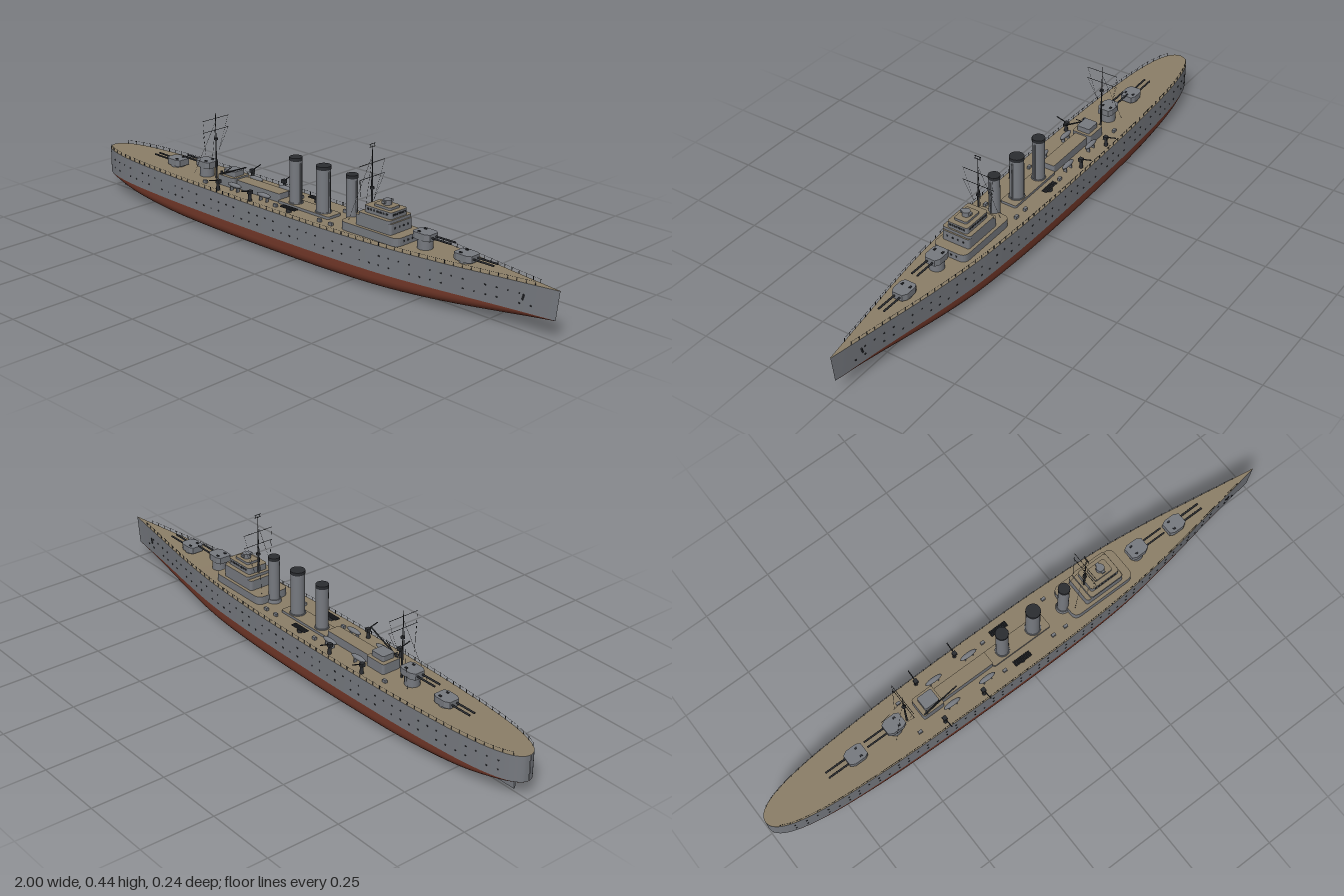
import * as THREE from 'three';
import { mergeGeometries } from 'three/addons/utils/BufferGeometryUtils.js';

const mat = (name, color, side = THREE.FrontSide) =>
  Object.assign(new THREE.MeshStandardMaterial({ color, side }), { name });

export function createModel() {
  const grey = mat('hull grey', 0x777a80);
  const red = mat('antifouling red', 0x75392a);
  const tan = mat('deck planking', 0x8c7f68);
  const dark = mat('dark fittings', 0x2b2d31);
  const ship = new THREE.Group();
  ship.name = 'cruiser';

  const add = (name, geo, material, parent = ship) => {
    const m = new THREE.Mesh(Array.isArray(geo) ? mergeGeometries(geo) : geo, material);
    m.name = name;
    parent.add(m);
    return m;
  };
  const box = (x, y, z, w, h, d) => new THREE.BoxGeometry(w, h, d).translate(x, y, z);
  const cyl = (x, y0, y1, z, r, rTop = r, n = 16) =>
    new THREE.CylinderGeometry(rTop, r, y1 - y0, n).translate(x, (y0 + y1) / 2, z);
  const rod = (a, b, r, n = 5) => {
    const p = new THREE.Vector3(...a), d = new THREE.Vector3(...b).sub(p);
    const q = new THREE.Quaternion().setFromUnitVectors(new THREE.Vector3(0, 1, 0), d.clone().normalize());
    return new THREE.CylinderGeometry(r, r, d.length(), n).applyQuaternion(q)
      .translate(p.x + d.x / 2, p.y + d.y / 2, p.z + d.z / 2);
  };
  // Rounded plan shape raised from y0 to y1; planked top, grey walls
  const slab = (name, x0, x1, hz, y0, y1, r, mats = [tan, grey]) => {
    const s = new THREE.Shape();
    s.moveTo(x0 + r, -hz).lineTo(x1 - r, -hz).quadraticCurveTo(x1, -hz, x1, -hz + r)
      .lineTo(x1, hz - r).quadraticCurveTo(x1, hz, x1 - r, hz)
      .lineTo(x0 + r, hz).quadraticCurveTo(x0, hz, x0, hz - r)
      .lineTo(x0, -hz + r).quadraticCurveTo(x0, -hz, x0 + r, -hz);
    const g = new THREE.ExtrudeGeometry(s, { depth: y1 - y0, bevelEnabled: false, curveSegments: 5 });
    return add(name, g.rotateX(-Math.PI / 2).translate(0, y0, 0), mats);
  };

  // Hull stations: x, half beam, keel height
  const WL = 0.065;
  const stations = new THREE.CatmullRomCurve3([
    [-1, 0.001, 0.064], [-0.995, 0.018, 0.063], [-0.98, 0.034, 0.06], [-0.95, 0.05, 0.052], [-0.9, 0.065, 0.04],
    [-0.8, 0.081, 0.02], [-0.6, 0.095, 0.004], [-0.35, 0.102, 0], [0, 0.103, 0], [0.2, 0.099, 0.001],
    [0.4, 0.088, 0.005], [0.6, 0.065, 0.016], [0.8, 0.033, 0.037], [0.9, 0.017, 0.05], [1, 0.001, 0.064],
  ].map(p => new THREE.Vector3(...p)), false, 'centripetal').getPoints(112);
  const deckY = x => 0.153 + 0.007 * Math.max(0, x) ** 2;
  const halfBeam = x => {
    const i = Math.max(1, stations.findIndex(s => s.x >= x));
    const a = stations[i - 1], b = stations[i];
    return a.y + (b.y - a.y) * (x - a.x) / (b.x - a.x);
  };
  const flare = x => 1 - 0.18 * THREE.MathUtils.smoothstep(x, 0.35, 0.95);
  const rake = x => x - 0.012 * THREE.MathUtils.smoothstep(x, 0.7, 1);

  // Skin through one row of points per station
  const skin = section => {
    const rows = stations.map(section), n = rows[0].length, idx = [];
    for (let i = 0; i < rows.length - 1; i++) for (let j = 0; j < n - 1; j++) {
      const a = i * n + j;
      idx.push(a, a + 1, a + n, a + 1, a + n + 1, a + n);
    }
    const g = new THREE.BufferGeometry();
    g.setAttribute('position', new THREE.Float32BufferAttribute(rows.flat(2), 3));
    g.setIndex(idx);
    g.computeVertexNormals();
    return g;
  };
  add('lowerHull', skin(s => {
    const n = 1.5 + 2.1 * (1 - Math.min(1, Math.abs(s.x + 0.1) ** 2));
    return Array.from({ length: 21 }, (_, j) => {
      const a = (1 - j / 10) * Math.PI / 2;
      const z = Math.sign(a) * Math.abs(Math.sin(a)) ** (2 / n);
      const y = WL - (WL - s.z) * Math.abs(Math.cos(a)) ** (2 / n);
      return [rake(s.x), y, z * s.y * flare(s.x)];
    });
  }), red);
  for (const side of [1, -1]) {
    add(side > 0 ? 'frontTopsides' : 'backTopsides', skin(s => {
      const top = [s.x, deckY(s.x), side * s.y], low = [rake(s.x), WL, side * s.y * flare(s.x)];
      return side > 0 ? [top, low] : [low, top];
    }), grey);
  }
  add('mainDeck', skin(s => [[s.x, deckY(s.x), -s.y], [s.x, deckY(s.x), s.y]]), tan);
  add('rudder', box(-0.912, 0.034, 0, 0.068, 0.048, 0.006), grey);

  // Portholes, anchors and deck-edge rails
  const ports = [], rails = [], anchors = [];
  for (const s of [1, -1]) {
    for (let i = 0; i < 50; i++) {
      const x = -0.93 + i * 0.0375;
      for (const y of [0.091, 0.122]) {
        if ((i + (y > 0.1 ? 0 : 2)) % 5 === 4) continue;
        const f = flare(x) + (1 - flare(x)) * (y - WL) / (deckY(x) - WL);
        const slope = Math.atan2(halfBeam(x + 0.01) - halfBeam(x - 0.01), 0.02);
        ports.push(new THREE.BoxGeometry(0.005, 0.004, 0.003).rotateY(-s * slope)
          .translate(x, y, s * halfBeam(x) * f));
      }
    }
    for (let i = 0; i < 64; i++) {
      const x = -0.97 + i * 0.03, y = deckY(x), z = s * (halfBeam(x) - 0.0015);
      rails.push(box(x, y + 0.006, z, 0.0014, 0.012, 0.0014));
      if (i < 63) rails.push(rod([x, y + 0.011, z],
        [x + 0.03, deckY(x + 0.03) + 0.011, s * (halfBeam(x + 0.03) - 0.0015)], 0.0004, 3));
    }
    anchors.push(rod([0.885, 0.122, s * 0.0185], [0.88, 0.104, s * 0.0185], 0.003));
  }
  add('portholes', ports, dark);
  add('deckRails', rails, dark);
  add('anchors', anchors, dark);

  // Twin gun turrets: x, floor height, facing
  [[0.655, 0.156, 1], [0.492, 0.18, 1], [-0.498, 0.18, -1], [-0.65, 0.153, -1]].forEach(([x, y, dir], i) => {
    const t = new THREE.Group();
    t.name = 'turret' + (i + 1);
    t.position.set(x, y, 0);
    if (dir < 0) t.rotation.y = Math.PI;
    ship.add(t);
    const plan = new THREE.Shape([[-0.034, -0.02], [-0.02, -0.027], [0.018, -0.027], [0.034, -0.018],
      [0.034, 0.018], [0.018, 0.027], [-0.02, 0.027], [-0.034, 0.02]].map(p => new THREE.Vector2(...p)));
    add('gunhouse', new THREE.ExtrudeGeometry(plan, { depth: 0.022, bevelEnabled: false })
      .rotateX(-Math.PI / 2).translate(0, 0.006, 0), grey, t);
    add('barbette', cyl(0, 0.15 - y, 0.007, 0, 0.025), grey, t);
    add('barrels', [-1, 1].map(s => rod([0.03, 0.017, s * 0.01], [0.11, 0.018, s * 0.01], 0.0032, 8)), dark, t);
    add('sightHoods', [-1, 1].map(s => box(-0.012, 0.029, s * 0.015, 0.009, 0.004, 0.006)), dark, t);
  });

  // Funnels with dark caps
  [[-0.065, 0.021], [0.06, 0.024], [0.185, 0.019]].forEach(([x, r], i) => {
    const f = new THREE.Group();
    f.name = 'funnel' + (i + 1);
    ship.add(f);
    add('casing', cyl(x, 0.15, 0.307, 0, r, r, 20), grey, f);
    add('cap', cyl(x, 0.307, 0.318, 0, r + 0.001, r + 0.001, 20), dark, f);
    add('base', cyl(x, 0.15, 0.165, 0, r + 0.006, r + 0.003, 20), grey, f);
    add('steamPipe', cyl(x + r + 0.002, 0.155, 0.3, 0, 0.003, 0.003, 6), grey, f);
  });

  // Bridge tiers
  slab('bridgeDeckhouse', 0.188, 0.432, 0.062, 0.15, 0.181, 0.025);
  slab('lowerBridge', 0.245, 0.395, 0.051, 0.181, 0.216, 0.01);
  slab('bridgeWing', 0.26, 0.39, 0.053, 0.216, 0.226, 0.01);
  slab('upperBridge', 0.272, 0.385, 0.038, 0.226, 0.248, 0.01);
  slab('compassPlatform', 0.298, 0.368, 0.024, 0.248, 0.256, 0.008);
  add('director', [cyl(0.335, 0.256, 0.272, 0, 0.014), box(0.335, 0.266, 0, 0.012, 0.008, 0.04)], grey);
  const panes = [];
  for (let i = -3; i <= 3; i++) {
    panes.push(box(0.385, 0.239, i * 0.0085, 0.003, 0.006, 0.006));
    for (const s of [1, -1]) panes.push(box(0.328 + i * 0.013, 0.239, s * 0.038, 0.008, 0.006, 0.003));
  }
  for (const z of [-0.03, -0.01, 0.01, 0.03]) {
    panes.push(box(0.395, 0.2, z, 0.003, 0.006, 0.006), box(0.432, 0.168, z, 0.003, 0.006, 0.006));
  }
  add('bridgeWindows', panes, dark);

  // After superstructure and platforms
  slab('afterDeckhouse', -0.405, -0.325, 0.036, 0.15, 0.188, 0.008);
  slab('afterControl', -0.39, -0.335, 0.024, 0.188, 0.206, 0.006, [grey, grey]);
  slab('midDeckhouse', -0.325, -0.12, 0.024, 0.15, 0.182, 0.006);
  slab('funnelDeckhouse', -0.12, 0.11, 0.03, 0.15, 0.162, 0.008);
  add('craneBoom', [rod([-0.4, 0.186, 0.03], [-0.27, 0.24, 0.03], 0.0025),
    rod([-0.39, 0.186, 0.03], [-0.34, 0.225, 0.03], 0.0015), cyl(-0.39, 0.16, 0.2, 0.03, 0.004)], dark);

  // Boats, deck guns and torpedo mounts on both sides
  const boats = [], guns = [], tubes = [], lockers = [];
  for (const s of [1, -1]) {
    for (const x of [-0.305, -0.165]) {
      boats.push(new THREE.SphereGeometry(1, 12, 8).scale(0.033, 0.008, 0.009).translate(x, 0.174, s * 0.05),
        box(x - 0.015, 0.16, s * 0.05, 0.003, 0.02, 0.012), box(x + 0.015, 0.16, s * 0.05, 0.003, 0.02, 0.012));
    }
    for (const x of [-0.355, -0.2]) {
      guns.push(cyl(x, 0.15, 0.178, s * 0.08, 0.007, 0.005, 8), box(x, 0.183, s * 0.078, 0.014, 0.012, 0.014),
        rod([x, 0.186, s * 0.08], [x, 0.196, s * 0.118], 0.002));
    }
    for (let i = 0; i < 4; i++) {
      tubes.push(rod([-0.065, 0.167, s * (0.057 + i * 0.005)], [0, 0.167, s * (0.057 + i * 0.005)], 0.0025, 6));
    }
    tubes.push(cyl(-0.033, 0.15, 0.165, s * 0.065, 0.009));
    for (const x of [-0.44, -0.1, 0.1, 0.15]) lockers.push(box(x, 0.157, s * 0.06, 0.014, 0.012, 0.009));
  }
  add('boats', boats, grey);
  add('deckGuns', guns, dark);
  add('torpedoTubes', tubes, dark);
  add('lockers', lockers, grey);

  // Masts with yards and rigging: x, foot, top, yard heights
  [['foreMast', 0.27, 0.22, 0.43, [0.33, 0.375]], ['mainMast', -0.45, 0.15, 0.385, [0.325, 0.366]]]
    .forEach(([name, x, y0, y1, yards]) => {
      const parts = [cyl(x, y0, y0 + 0.1, 0, 0.0035, 0.003, 8), cyl(x, y0 + 0.1, y1, 0, 0.002, 0.001, 6),
        cyl(x, 0.29, 0.297, 0, 0.007, 0.007, 8)];
      for (const y of yards) {
        parts.push(rod([x, y, -0.058], [x, y, 0.058], 0.0009));
        for (const s of [1, -1]) parts.push(rod([x, y, s * 0.057], [x - 0.02, 0.24, s * 0.03], 0.0004, 3));
      }
      for (const s of [1, -1]) parts.push(rod([x, y1 - 0.03, 0], [x - 0.07, 0.16, s * 0.04], 0.0005, 3));
      if (name === 'foreMast') {
        for (const y of [0.427, 0.437]) parts.push(box(x, y, 0, 0.002, 0.0012, 0.025));
        for (const s of [1, -1]) parts.push(box(x, 0.432, s * 0.009, 0.0012, 0.01, 0.0012));
      }
      add(name, parts, dark);
    });
  return ship;
}
